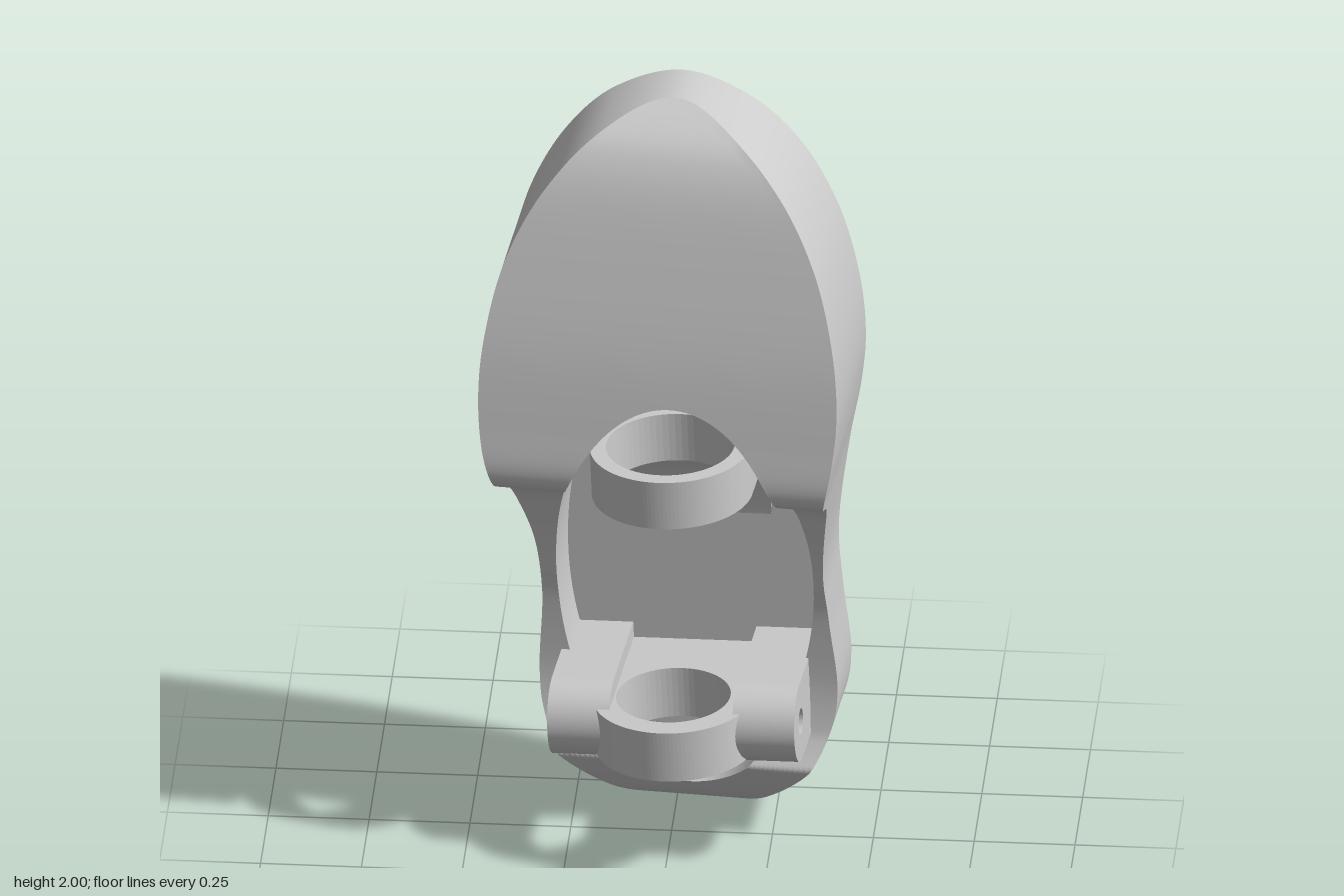
import * as THREE from 'three';

const V = (x, y) => new THREE.Vector2(x, y);
const BACK = -0.257, FLOOR = -0.2;

// Quad strips between successive closed loops of points, smooth inside one patch
function loft(rings) {
  const n = rings[0].length, pos = [], idx = [];
  rings.forEach(r => r.forEach(p => pos.push(p.x, p.y, p.z)));
  for (let j = 0; j < rings.length - 1; j++) {
    for (let i = 0; i < n; i++) {
      const k = (i + 1) % n;
      const a = j * n + i, b = j * n + k, d = a + n, c = b + n;
      idx.push(a, d, c, a, c, b);
    }
  }
  const g = new THREE.BufferGeometry();
  g.setAttribute('position', new THREE.Float32BufferAttribute(pos, 3));
  g.setIndex(idx);
  g.computeVertexNormals();
  return g;
}

// Centred extrusion without bevel
function slab(shape, depth) {
  const g = new THREE.ExtrudeGeometry(shape, { depth, bevelEnabled: false, curveSegments: 32 });
  return g.translate(0, 0, -depth / 2);
}

export function createModel() {
  const model = new THREE.Group();
  model.name = 'soleHousing';
  const mat = new THREE.MeshStandardMaterial({ color: 0xcccccc });
  const add = (parent, name, geo, x = 0, y = 0, z = 0) => {
    const m = new THREE.Mesh(geo, mat);
    m.name = name;
    m.position.set(x, y, z);
    parent.add(m);
    return m;
  };

  // Waisted outline of the body, counterclockwise
  const outline = new THREE.CatmullRomCurve3([
    [0.04, 0], [0.15, 0.025], [0.26, 0.1], [0.35, 0.2], [0.395, 0.3], [0.408, 0.4],
    [0.387, 0.6], [0.377, 0.75], [0.405, 1.0], [0.435, 1.17], [0.445, 1.3],
    [0.43, 1.46], [0.375, 1.66], [0.28, 1.83], [0.16, 1.94], [-0.01, 2],
    [-0.18, 1.94], [-0.3, 1.82], [-0.395, 1.64], [-0.44, 1.45], [-0.452, 1.3],
    [-0.44, 1.15], [-0.4, 1.0], [-0.345, 0.8], [-0.33, 0.63], [-0.338, 0.4],
    [-0.326, 0.3], [-0.285, 0.2], [-0.195, 0.1], [-0.08, 0.025],
  ].map(p => new THREE.Vector3(p[0], p[1], 0)), true);
  outline.arcLengthDivisions = 1200;
  const outer = outline.getSpacedPoints(360).slice(0, 360);

  // Depth of the front face as a function of height
  const profile = [
    ...new THREE.SplineCurve([V(-0.19, 0), V(-0.1, 0.05), V(-0.05, 0.1), V(0.02, 0.2)]).getPoints(40),
    ...new THREE.SplineCurve([V(0.02, 0.2), V(-0.01, 0.25), V(-0.03, 0.3), V(-0.045, 0.42),
      V(-0.038, 0.6), V(-0.02, 0.7), V(0.003, 0.8), V(0.04, 0.9), V(0.07, 0.96), V(0.115, 1.0),
      V(0.175, 1.025), V(0.212, 1.05), V(0.225, 1.1), V(0.213, 1.2), V(0.18, 1.4),
      V(0.13, 1.6), V(0.07, 1.8), V(0.02, 1.9), V(-0.03, 1.95), V(-0.112, 2)]).getPoints(300),
  ];
  const front = y => {
    let i = 1;
    while (i < profile.length - 1 && profile[i].y < y) i++;
    const a = profile[i - 1], b = profile[i];
    const t = b.y > a.y ? THREE.MathUtils.clamp((y - a.y) / (b.y - a.y), 0, 1) : 0;
    return a.x + (b.x - a.x) * t;
  };

  // Oval cavity rim, one point on the ray to each outline point
  const C = new THREE.Vector3(0.03, 0.705, 0), RX = 0.322, RY = 0.585;
  const inner = outer.map(p => {
    const d = p.clone().sub(C);
    return d.multiplyScalar(1 / Math.hypot(d.x / RX, d.y / RY)).add(C);
  });
  const atZ = (loop, z) => loop.map(p => new THREE.Vector3(p.x, p.y, z));
  const onFront = loop => loop.map(p => new THREE.Vector3(p.x, p.y, front(p.y)));
  const centre = z => outer.map(() => new THREE.Vector3(C.x, C.y, z));
  const STEPS = 32, face = [];
  for (let j = 0; j <= STEPS; j++) {
    face.push(onFront(outer.map((p, i) => inner[i].clone().lerp(p, j / STEPS))));
  }

  const body = new THREE.Group();
  body.name = 'body';
  model.add(body);
  add(body, 'cavityFloor', loft([centre(FLOOR), atZ(inner, FLOOR)]));
  add(body, 'cavityWall', loft([atZ(inner, FLOOR), onFront(inner)]));
  add(body, 'frontFace', loft(face));
  add(body, 'outerWall', loft([onFront(outer), atZ(outer, BACK)]));
  add(body, 'backFace', loft([atZ(outer, BACK), centre(BACK)]));

  // Round-nosed block with a vertical bore, reaching back to the cavity floor
  const ringBlock = (r, bore, height, back) => {
    const s = new THREE.Shape();
    s.moveTo(-r, -back);
    s.lineTo(r, -back);
    s.lineTo(r, 0);
    s.absarc(0, 0, r, 0, Math.PI, false);
    s.closePath();
    s.holes.push(new THREE.Path().absarc(0, 0, bore, 0, Math.PI * 2, true));
    return slab(s, height).rotateX(Math.PI / 2);
  };

  // Upper ring and its curved support
  const upper = new THREE.Group();
  upper.name = 'upperHolder';
  upper.position.set(0.015, 1.07, 0.094);
  upper.rotation.z = 0.04;
  model.add(upper);
  add(upper, 'upperRing', ringBlock(0.2, 0.16, 0.13, 0.3));
  const web = new THREE.Shape();
  web.moveTo(-0.3, -0.33);
  web.quadraticCurveTo(-0.28, -0.1, -0.165, -0.06);
  web.lineTo(-0.165, 0);
  web.lineTo(-0.3, 0);
  web.closePath();
  add(upper, 'upperSupport', slab(web, 0.385).rotateY(-Math.PI / 2));

  // Lower ring between two drilled lugs
  const lower = new THREE.Group();
  lower.name = 'lowerHolder';
  lower.position.set(0.03, 0.373, 0.1);
  lower.rotation.z = 0.045;
  model.add(lower);
  add(lower, 'lowerRing', ringBlock(0.2, 0.142, 0.135, 0.3), -0.008, -0.01, -0.006);
  const lug = new THREE.Shape();
  lug.moveTo(-0.3, -0.1);
  lug.lineTo(0, -0.1);
  lug.absarc(0, 0, 0.1, -Math.PI / 2, Math.PI / 2, false);
  lug.lineTo(-0.3, 0.1);
  lug.closePath();
  lug.holes.push(new THREE.Path().absarc(0, 0, 0.033, 0, Math.PI * 2, true));
  for (const [name, side] of [['leftLug', 1], ['rightLug', -1]]) {
    add(lower, name, slab(lug, 0.155).rotateY(-Math.PI / 2), side * 0.232, 0, 0);
  }

  // Slight turn and lean of the whole piece
  model.rotation.set(0.008, -0.084, 0);
  model.position.z = -0.008;
  const root = new THREE.Group();
  root.name = 'footShell';
  root.add(model);
  return root;
}
